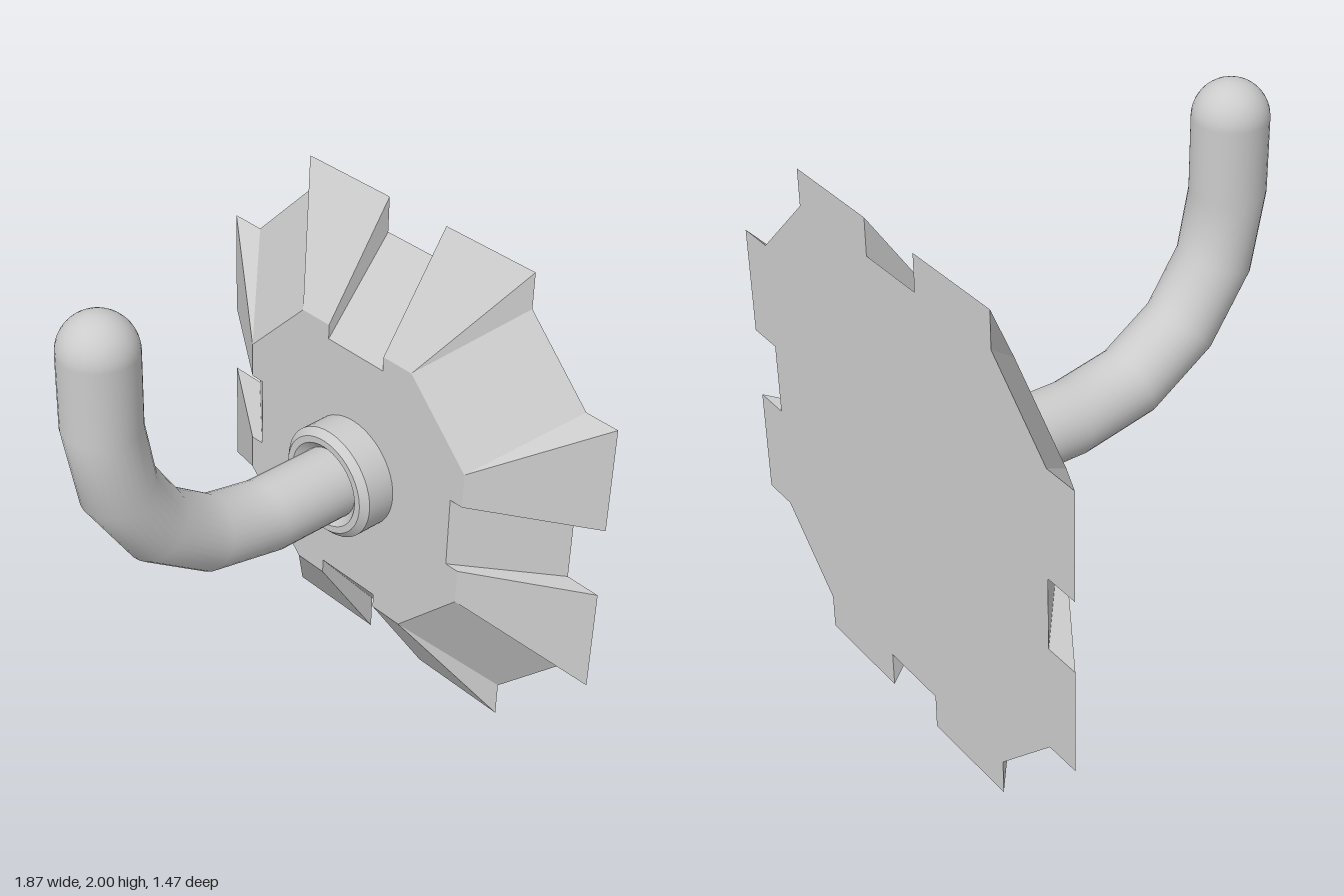
import * as THREE from 'three';

const CY = 0.935; // height of the plate and hook axis
const BACK = -0.735, FRONT = -0.47;
const material = new THREE.MeshStandardMaterial({ color: 0xcccccc });
const flatMaterial = new THREE.MeshStandardMaterial({ color: 0xcccccc, flatShading: true });

function part(name, geometry, mat = material) {
  const mesh = new THREE.Mesh(geometry, mat);
  mesh.name = name;
  return mesh;
}

// One quadrant of the notched outline: [front x, front y, back x, back y]
const QUADRANT = [
  [0.48, 0.135, 0.8, 0.135],
  [0.535, 0.135, 0.935, 0.135],
  [0.535, 0.268, 0.935, 0.535],
  [0.535, 0.268, 0.8, 0.535],
  [0.268, 0.535, 0.535, 0.8],
  [0.268, 0.535, 0.535, 0.935],
  [0.135, 0.535, 0.135, 0.935],
  [0.135, 0.48, 0.135, 0.8],
];

// Wall plate: flaring sides between two outlines, closed by two caps
function buildPlate() {
  const group = new THREE.Group();
  group.name = 'wallPlate';
  const front = [], back = [];
  for (let q = 0; q < 4; q++) {
    const turn = (x, y) => new THREE.Vector2(...[[x, y], [-y, x], [-x, -y], [y, -x]][q]);
    for (const [fx, fy, bx, by] of QUADRANT) {
      front.push(turn(fx, fy));
      back.push(turn(bx, by));
    }
  }
  const pos = [];
  const tri = (...pts) => pts.forEach(([p, z]) => pos.push(p.x, p.y, z));
  front.forEach((f, i) => {
    const j = (i + 1) % front.length;
    const b = back[i], f2 = front[j], b2 = back[j];
    tri([b, BACK], [b2, BACK], [f, FRONT]);
    if (!f.equals(f2)) tri([b2, BACK], [f2, FRONT], [f, FRONT]);
  });
  const sides = new THREE.BufferGeometry();
  sides.setAttribute('position', new THREE.Float32BufferAttribute(pos, 3));
  sides.computeVertexNormals();

  const outline = front.filter((p, i) => !p.equals(front[(i + 1) % front.length]));
  const face = part('plateFace', new THREE.ShapeGeometry(new THREE.Shape(outline)), flatMaterial);
  face.position.z = FRONT;

  // Mirrored in x, then turned round to face the wall
  const mirrored = back.map((p) => new THREE.Vector2(-p.x, p.y));
  const rear = part('plateBack', new THREE.ShapeGeometry(new THREE.Shape(mirrored)), flatMaterial);
  rear.rotation.y = Math.PI;
  rear.position.z = BACK;

  group.add(part('plateSides', sides, flatMaterial), face, rear);
  group.position.y = CY;
  return group;
}

// Collar: chamfered ring around the foot of the hook, one band per crisp edge
function buildCollar() {
  const group = new THREE.Group();
  group.name = 'collar';
  const profile = [[0.21, 0], [0.21, 0.11], [0.185, 0.135], [0.16, 0.135], [0.13, 0.105]];
  for (let i = 0; i < profile.length - 1; i++) {
    const pts = [profile[i], profile[i + 1]].map(([r, h]) => new THREE.Vector2(r, h));
    group.add(part('collarBand', new THREE.LatheGeometry(pts, 48)));
  }
  group.rotation.x = Math.PI / 2;
  group.position.set(0, CY, FRONT);
  return group;
}

// Hook: a round bar leaving the plate, bending up in four segments
function buildHook() {
  const group = new THREE.Group();
  group.name = 'hook';
  const R = 0.132, BEND = 0.665, bendZ = -0.062, bendY = 1.6, tipY = 2 - R;
  const rows = [{ z: FRONT, y: CY, a: 0 }];
  for (let i = 0; i <= 4; i++) {
    const a = (i / 4) * (Math.PI / 2);
    rows.push({ z: bendZ + BEND * Math.sin(a), y: bendY - BEND * Math.cos(a), a });
  }
  rows.push({ z: bendZ + BEND, y: tipY, a: Math.PI / 2 });
  rows.reverse(); // cylinder rows run from top to bottom

  const SIDES = 32;
  const bar = new THREE.CylinderGeometry(R, R, 1, SIDES, rows.length - 1, true);
  const { position, normal } = bar.attributes;
  const v = new THREE.Vector3(), axis = new THREE.Vector3(1, 0, 0);
  for (let i = 0; i < position.count; i++) {
    const { z, y, a } = rows[Math.floor(i / (SIDES + 1))];
    v.set(position.getX(i), 0, position.getZ(i)).applyAxisAngle(axis, Math.PI / 2 - a);
    position.setXYZ(i, v.x, v.y + y, v.z + z);
    v.normalize();
    normal.setXYZ(i, v.x, v.y, v.z);
  }

  // Rounded tip
  const tip = part('hookTip', new THREE.SphereGeometry(R, SIDES, 12, 0, Math.PI * 2, 0, Math.PI / 2));
  tip.position.set(0, tipY, bendZ + BEND);
  group.add(part('hookBar', bar), tip);
  return group;
}

export function createModel() {
  const model = new THREE.Group();
  model.name = 'wallHook';
  model.add(buildPlate(), buildCollar(), buildHook());
  return model;
}
